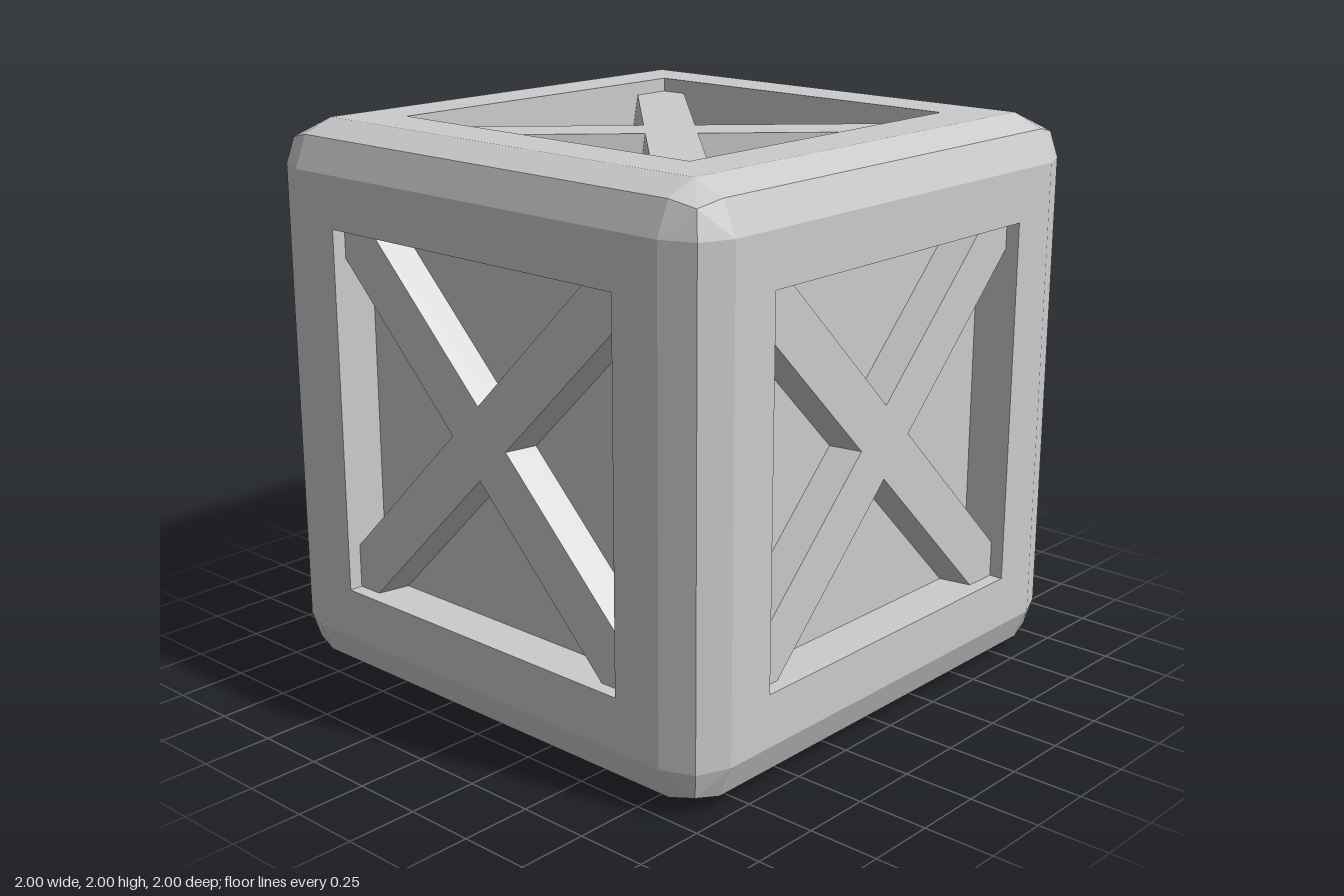
import * as THREE from 'three';

const FLAT = 0.84;    // half width of the flat part of a side
const BEVEL = 0.16;   // radius of the two-step edge bevel
const HOLE = 0.655;   // half width of the square recess
const FLOOR = 0.835;  // height of the recess floor above the cube centre
const BAR_TOP = 0.95;

const material = new THREE.MeshStandardMaterial({ color: 0xcccccc, flatShading: true });

// Mesh from a list of four-cornered faces (corners counter-clockwise)
function quadMesh(name, quads) {
  const pos = [];
  for (const [a, b, c, d] of quads) for (const p of [a, b, c, a, c, d]) pos.push(...p);
  const geo = new THREE.BufferGeometry();
  geo.setAttribute('position', new THREE.Float32BufferAttribute(pos, 3));
  geo.computeVertexNormals();
  const mesh = new THREE.Mesh(geo, material);
  mesh.name = name;
  return mesh;
}

// Quarter turns about the side's own axis
const turn = ([x, y, z], n) => (n === 0 ? [x, y, z] : turn([-y, x, z], n - 1));
const fourTimes = (quads) =>
  [0, 1, 2, 3].flatMap((n) => quads.map((q) => q.map((p) => turn(p, n))));

// Flat frame with half of each bevel and a third of each rounded corner
function makeFrame() {
  const e = FLAT + BEVEL / Math.SQRT2;
  const c = FLAT + BEVEL / Math.sqrt(3);
  return quadMesh('frame', fourTimes([
    [[HOLE, -HOLE, 1], [FLAT, -FLAT, 1], [FLAT, FLAT, 1], [HOLE, HOLE, 1]],
    [[FLAT, -FLAT, 1], [e, -FLAT, e], [e, FLAT, e], [FLAT, FLAT, 1]],
    [[FLAT, FLAT, 1], [e, FLAT, e], [c, c, c], [FLAT, e, e]],
  ]));
}

// Recess walls and floor
function makeRecess() {
  const h = HOLE;
  return quadMesh('recessedPanel', [
    ...fourTimes([[[h, -h, FLOOR], [h, -h, 1], [h, h, 1], [h, h, FLOOR]]]),
    [[-h, -h, FLOOR], [h, -h, FLOOR], [h, h, FLOOR], [-h, h, FLOOR]],
  ]);
}

// Diagonal bar cut off by the recess walls, with sloping flanks
function makeBar(name, offset, quarterTurns) {
  const h = HOLE;
  const outline = (half, z) => {
    const lo = offset - half, hi = offset + half;
    return [[-h, -h], [-lo - h, -h], [h, h + lo], [h, h], [h - hi, h], [-h, hi - h]]
      .map(([x, y]) => [x, y, z]);
  };
  const base = outline(0.15, FLOOR), top = outline(0.128, BAR_TOP);
  const quads = base.map((p, i) => {
    const j = (i + 1) % 6;
    return [p, base[j], top[j], top[i]];
  });
  quads.push([top[0], top[1], top[2], top[3]], [top[0], top[3], top[4], top[5]]);
  return quadMesh(name, quads.map((q) => q.map((p) => turn(p, quarterTurns))));
}

export function createModel() {
  const group = new THREE.Group();
  group.name = 'crate';
  const q = Math.PI / 2;
  // name, rotation x, rotation y, offsets of the rising and falling bar
  const sides = [
    ['front', 0, 0, 0.03, 0.02],
    ['back', 0, 2 * q, 0.03, 0.02],
    ['left', 0, q, 0.03, 0],
    ['right', 0, -q, 0.03, 0],
    ['top', -q, 0, -0.015, -0.025],
    ['bottom', q, 0, 0, 0],
  ];
  for (const [name, rx, ry, rising, falling] of sides) {
    const side = new THREE.Group();
    side.name = name + 'Side';
    side.add(
      makeFrame(),
      makeRecess(),
      makeBar('risingCrossBar', rising, 0),
      makeBar('fallingCrossBar', -falling, 1),
    );
    side.rotation.set(rx, ry, 0);
    side.position.y = 1;
    group.add(side);
  }
  return group;
}
